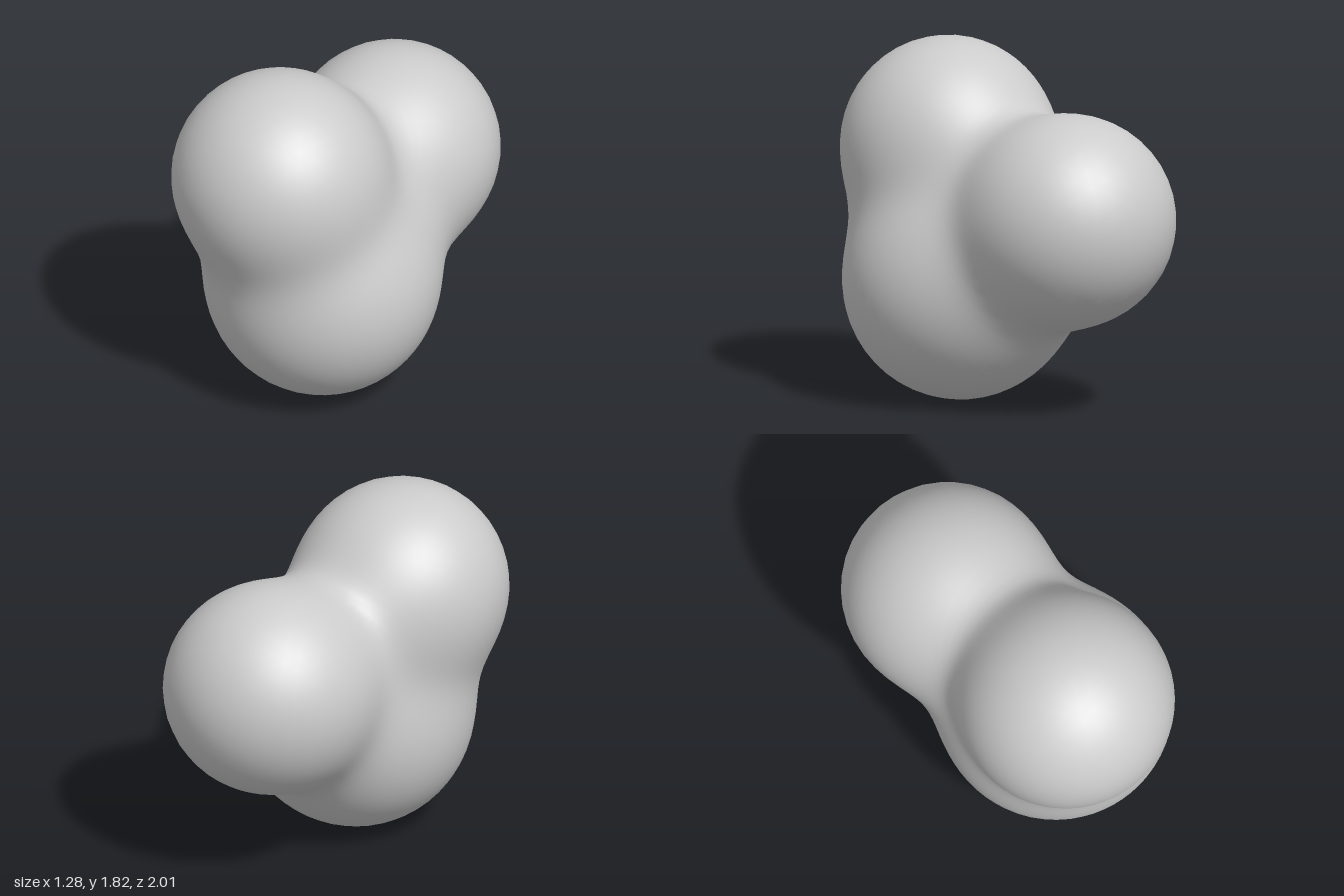
import * as THREE from 'three';
import { mergeVertices } from 'three/addons/utils/BufferGeometryUtils.js';

// Three lobes melted into one body: centre and radius
const LOBES = [
  { c: new THREE.Vector3(-0.1, 1.275, 0.46), r: 0.545 }, // upper front
  { c: new THREE.Vector3(0.01, 1.0, -0.46), r: 0.54 },   // rear
  { c: new THREE.Vector3(0.035, 0.595, 0.26), r: 0.595 } // lower
];
const BLEND = 0.11;
const CORE = new THREE.Vector3(0, 0.95, 0.1);

// Smooth union distance, negative inside the body
function distance(p) {
  let sum = 0;
  for (const { c, r } of LOBES) sum += Math.exp(-(p.distanceTo(c) - r) / BLEND);
  return -BLEND * Math.log(sum);
}

// Walk out from the core along a direction to the blended surface
function surfacePoint(dir, target) {
  let lo = 0, hi = 1.6;
  for (let i = 0; i < 30; i++) {
    const mid = (lo + hi) / 2;
    target.copy(CORE).addScaledVector(dir, mid);
    if (distance(target) < 0) lo = mid; else hi = mid;
  }
  return target;
}

export function createModel() {
  const group = new THREE.Group();
  group.name = 'blob';

  // Shared vertices of a sphere pushed onto the blended surface
  let geo = new THREE.IcosahedronGeometry(1, 14);
  geo.deleteAttribute('normal');
  geo.deleteAttribute('uv');
  geo = mergeVertices(geo, 1e-4);
  const pos = geo.attributes.position;
  const dir = new THREE.Vector3(), p = new THREE.Vector3();
  for (let i = 0; i < pos.count; i++) {
    dir.fromBufferAttribute(pos, i).normalize();
    surfacePoint(dir, p);
    pos.setXYZ(i, p.x, p.y, p.z);
  }
  geo.computeVertexNormals();

  const body = new THREE.Mesh(geo, new THREE.MeshStandardMaterial({ color: 0xcccccc }));
  body.name = 'threeLobedBody';
  group.add(body);
  return group;
}
